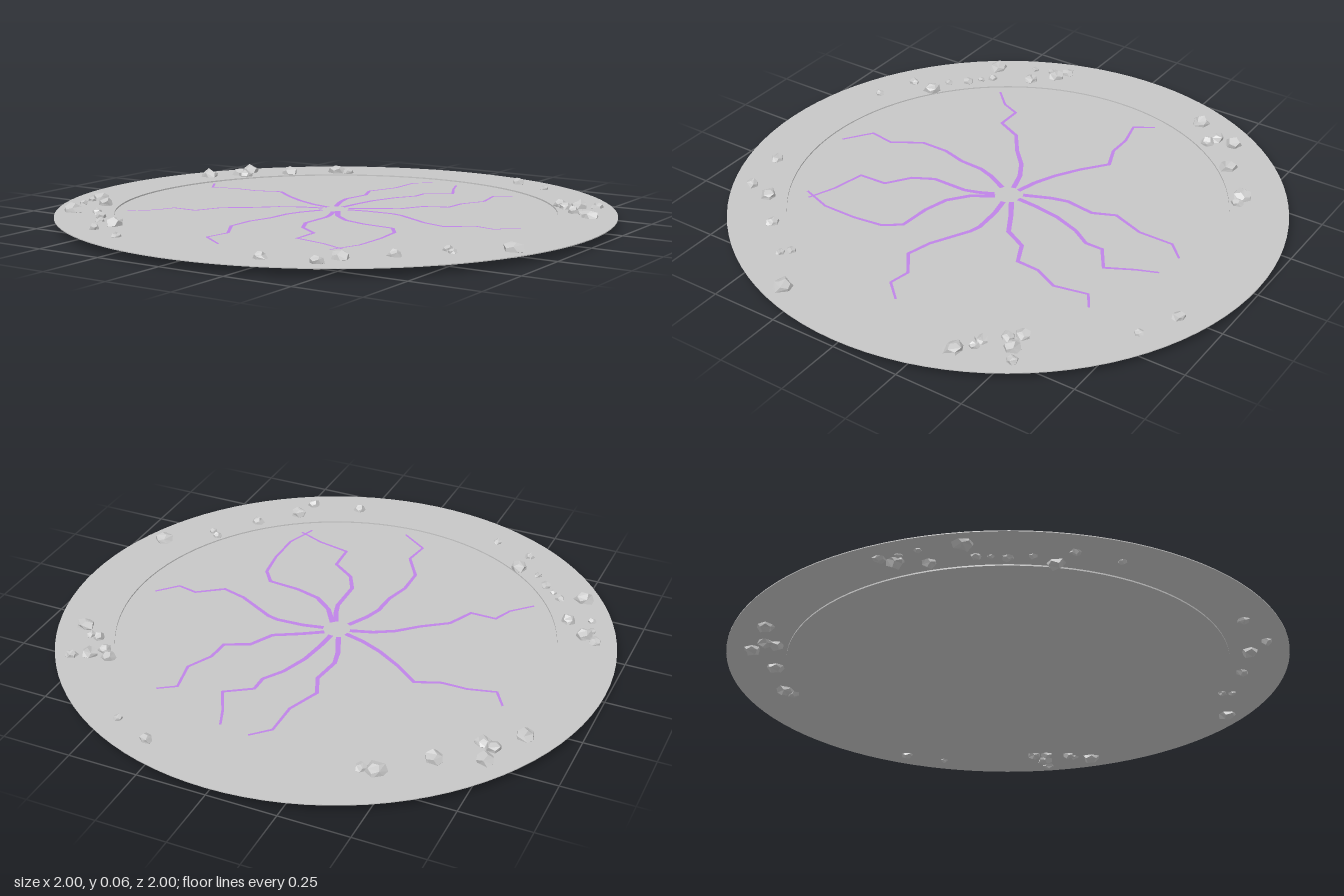
import * as THREE from 'three';

const RING_TOP = 0.039, FLOOR_TOP = 0.034, THICK = 0.003;

const stone = new THREE.MeshStandardMaterial({ color: 0xc6c6c6 });
stone.name = 'ground grey';
const rubble = new THREE.MeshStandardMaterial({ color: 0xc9c9c9 });
rubble.name = 'rock grey';
const glow = new THREE.MeshStandardMaterial({ color: 0xc084e8 });
glow.name = 'crack purple';

// Repeatable scatter value in 0..1
const hash = (a, b, c, d) => {
  const s = Math.sin(a * 12.99 + b * 78.23 + c * 37.72 + d * 4.17) * 43758.55;
  return s - Math.floor(s);
};

// Thin disc with a sunken floor inside a raised outer ring
function makeDisc() {
  const profile = [
    [0, FLOOR_TOP - THICK], [0.79, FLOOR_TOP - THICK], [0.79, RING_TOP - THICK], [1, RING_TOP - THICK],
    [1, RING_TOP], [0.79, RING_TOP], [0.79, FLOOR_TOP], [0, FLOOR_TOP],
  ].map(([x, y]) => new THREE.Vector2(x, y));
  const geo = new THREE.LatheGeometry(profile, 96).toNonIndexed();
  geo.computeVertexNormals();
  const mesh = new THREE.Mesh(geo, stone);
  mesh.name = 'sunkenDisc';
  return mesh;
}

// Flat mitred ribbon along [x, z] points, tapering outwards
function makeCrack(points) {
  const pts = points.map(([x, z]) => new THREE.Vector2(x, z));
  const last = pts.length - 1;
  const pos = [], index = [];
  pts.forEach((p, i) => {
    const dirIn = pts[Math.max(i, 1)].clone().sub(pts[Math.max(i, 1) - 1]).normalize();
    const j = Math.min(i, last - 1);
    const dirOut = pts[j + 1].clone().sub(pts[j]).normalize();
    const dir = dirIn.clone().add(dirOut).normalize();
    const half = (0.0095 - 0.0055 * i / last) / Math.max(0.6, dir.dot(dirOut));
    pos.push(p.x - dir.y * half, FLOOR_TOP + 0.005, p.y + dir.x * half);
    pos.push(p.x + dir.y * half, FLOOR_TOP + 0.005, p.y - dir.x * half);
    if (i < last) index.push(2 * i, 2 * i + 2, 2 * i + 1, 2 * i + 1, 2 * i + 2, 2 * i + 3);
  });
  const geo = new THREE.BufferGeometry();
  geo.setAttribute('position', new THREE.Float32BufferAttribute(pos, 3));
  geo.setIndex(index);
  geo.computeVertexNormals();
  const mesh = new THREE.Mesh(geo, glow);
  mesh.name = 'crack';
  return mesh;
}

// Faceted rock: a dodecahedron with its corners pushed in and out
function makeRock([x, z, r], seed) {
  const geo = new THREE.DodecahedronGeometry(1);
  const p = geo.attributes.position, v = new THREE.Vector3();
  for (let i = 0; i < p.count; i++) {
    v.fromBufferAttribute(p, i);
    const [a, b, c] = [v.x, v.y, v.z].map((n) => Math.round(n * 100));
    v.multiplyScalar(0.88 + 0.36 * hash(a, b, c, seed));
    p.setXYZ(i, v.x, v.y, v.z);
  }
  geo.computeVertexNormals();
  const mesh = new THREE.Mesh(geo, rubble);
  mesh.name = 'rock';
  mesh.position.set(x, 0.04, z);
  mesh.scale.set(r, Math.min(r * 0.95, 0.028), r);
  mesh.rotation.y = hash(seed, 1, 2, 3) * Math.PI * 2;
  return mesh;
}

export function createModel() {
  const model = new THREE.Group();
  model.name = 'crackedGround';
  model.add(makeDisc());

  // Nine cracks spreading from the centre
  const cracks = new THREE.Group();
  cracks.name = 'cracks';
  const crack = (...pts) => cracks.add(makeCrack(pts));
  crack([-0.03, -0.045], [-0.07, -0.14], [-0.085, -0.2], [-0.07, -0.31], [-0.105, -0.39], [-0.06, -0.51], [-0.06, -0.64], [0, -0.7]);
  crack([0, -0.045], [0.005, -0.12], [0.02, -0.22], [0.055, -0.32], [0.1, -0.39], [0.1, -0.455], [0.19, -0.515], [0.14, -0.61], [0.11, -0.685]);
  crack([0.03, -0.035], [0.1, -0.08], [0.19, -0.13], [0.235, -0.215], [0.32, -0.255], [0.325, -0.34], [0.37, -0.43], [0.345, -0.55], [0.405, -0.59]);
  crack([0.045, -0.01], [0.12, -0.025], [0.22, -0.03], [0.26, -0.02], [0.4, 0.055], [0.49, 0.08], [0.58, 0.015], [0.655, 0.03], [0.72, -0.04]);
  crack([0.03, 0.035], [0.08, 0.11], [0.15, 0.165], [0.24, 0.19], [0.36, 0.2], [0.405, 0.26], [0.42, 0.37], [0.42, 0.5], [0.38, 0.615]);
  crack([0.02, 0.045], [0.045, 0.1], [0.06, 0.15], [0.06, 0.28], [0.1, 0.355], [0.185, 0.415], [0.19, 0.52], [0.31, 0.545], [0.41, 0.585]);
  crack([-0.03, 0.045], [-0.07, 0.12], [-0.09, 0.18], [-0.095, 0.27], [-0.12, 0.36], [-0.12, 0.465], [-0.055, 0.57], [-0.07, 0.665], [0.03, 0.735]);
  crack([-0.05, 0.01], [-0.13, 0.035], [-0.2, 0.075], [-0.27, 0.14], [-0.36, 0.205], [-0.405, 0.3], [-0.5, 0.3], [-0.53, 0.37], [-0.6, 0.44]);
  crack([-0.045, -0.015], [-0.12, -0.035], [-0.2, -0.07], [-0.29, -0.125], [-0.38, -0.195], [-0.47, -0.16], [-0.56, -0.16], [-0.66, -0.135], [-0.705, -0.205]);
  model.add(cracks);

  // Rocks scattered round the rim: x, z, radius
  const rocks = new THREE.Group();
  rocks.name = 'rocks';
  [
    [0.29, -0.86, 0.022], [0.435, -0.795, 0.015], [-0.455, -0.705, 0.033], [-0.41, -0.71, 0.022],
    [-0.605, -0.57, 0.032], [-0.755, -0.51, 0.031], [-0.755, -0.44, 0.029], [-0.715, -0.425, 0.026],
    [-0.83, -0.335, 0.03], [0.65, -0.495, 0.025], [0.685, -0.46, 0.022], [0.72, -0.5, 0.029],
    [0.775, -0.535, 0.02], [0.745, -0.4, 0.022], [0.78, -0.395, 0.016], [0.83, -0.35, 0.032],
    [0.875, 0.31, 0.033], [0.7, 0.42, 0.018], [0.73, 0.445, 0.015], [0.605, 0.585, 0.023],
    [0.485, 0.71, 0.03], [0.46, 0.805, 0.022], [0.275, 0.845, 0.022], [-0.32, 0.825, 0.016],
    [-0.47, 0.765, 0.018], [-0.46, 0.67, 0.03], [-0.545, 0.65, 0.015], [-0.595, 0.59, 0.019],
    [-0.635, 0.555, 0.013], [-0.67, 0.525, 0.018], [-0.755, 0.555, 0.033], [-0.745, 0.39, 0.026],
    [-0.825, 0.42, 0.014], [-0.825, 0.32, 0.03], [-0.845, 0.355, 0.015], [-0.875, 0.295, 0.021],
  ].forEach((spec, i) => rocks.add(makeRock(spec, i + 1)));
  model.add(rocks);
  return model;
}
